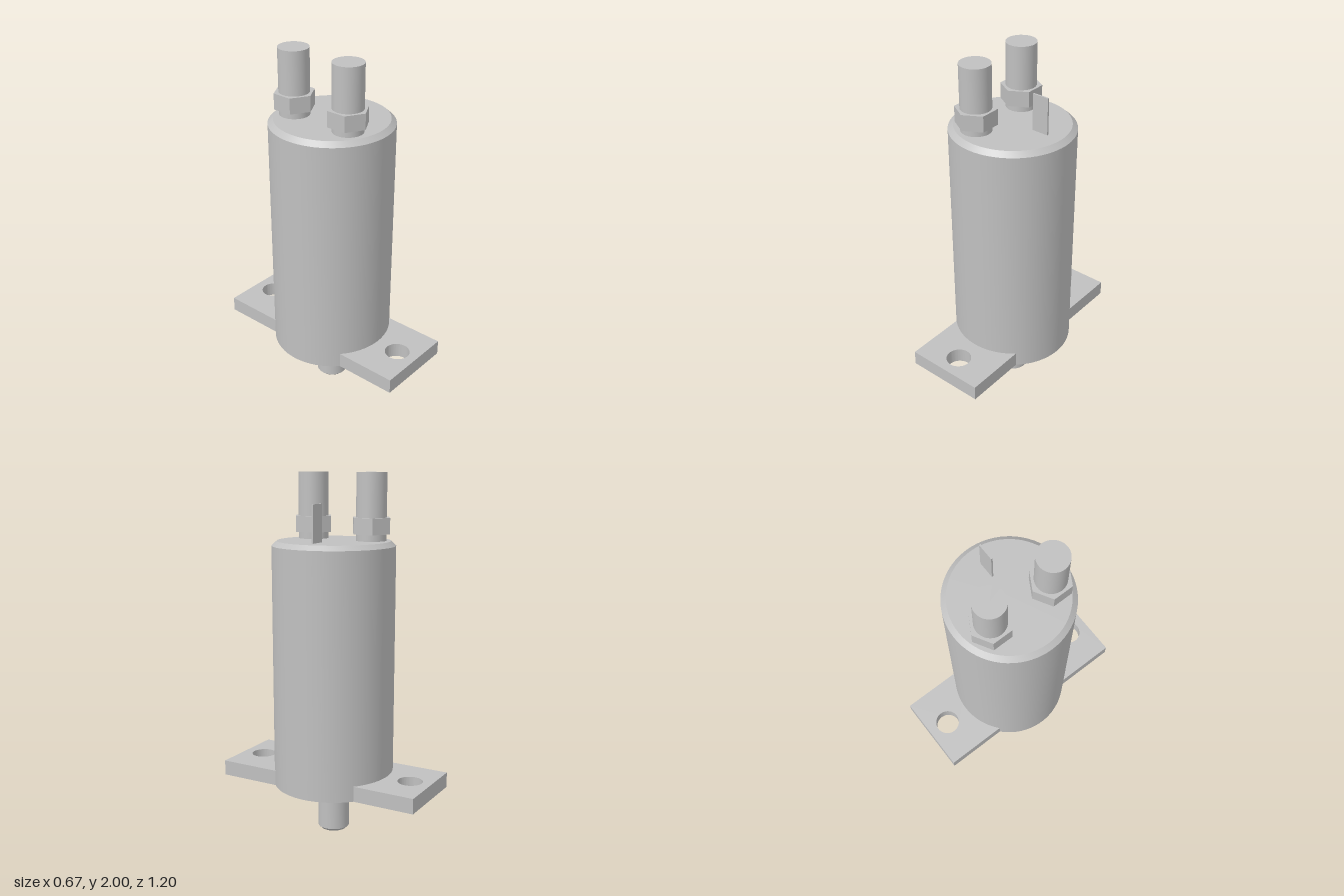
import * as THREE from 'three';
import { toCreasedNormals } from 'three/addons/utils/BufferGeometryUtils.js';

const BODY_R = 0.335, BASE_Y = 0.275, TOP_Y = 1.64;

export function createModel() {
  const model = new THREE.Group();
  model.name = 'solenoid';
  const metal = new THREE.MeshStandardMaterial({ color: 0xc0c0c0 });
  metal.name = 'grey metal';

  const add = (name, geometry, x = 0, y = 0, z = 0) => {
    const mesh = new THREE.Mesh(geometry, metal);
    mesh.name = name;
    mesh.position.set(x, y, z);
    model.add(mesh);
    return mesh;
  };
  // Turned part from a [radius, y] profile, bottom to top, with sharp edges kept
  const turned = (profile, segments) => toCreasedNormals(
    new THREE.LatheGeometry(profile.map(([r, y]) => new THREE.Vector2(r, y)), segments), 0.5);

  // Main can with chamfered top rim
  add('body', turned([[0, BASE_Y], [BODY_R, BASE_Y], [BODY_R, 1.615], [0.307, TOP_Y], [0, TOP_Y]], 72));

  // Plunger below the can, chamfered at its tip
  add('plunger', turned([[0, 0], [0.073, 0], [0.088, 0.015], [0.088, BASE_Y]], 48));

  // Mounting ears: drilled plates that meet the can along an arc
  const halfW = 0.225, end = 0.598;
  const angle = Math.acos(halfW / BODY_R);
  const ear = new THREE.Shape();
  ear.moveTo(-halfW, end);
  ear.lineTo(-halfW, BODY_R * Math.sin(angle));
  ear.absarc(0, 0, BODY_R, Math.PI - angle, angle, true);
  ear.lineTo(halfW, end);
  ear.closePath();
  const hole = new THREE.Path();
  hole.absarc(0, 0.477, 0.069, 0, Math.PI * 2, true);
  ear.holes.push(hole);
  const earGeometry = toCreasedNormals(
    new THREE.ExtrudeGeometry(ear, { depth: 0.085, bevelEnabled: false, curveSegments: 32 }).rotateX(Math.PI / 2), 0.5);
  add('frontMountingEar', earGeometry, 0, 0.36, 0);
  add('backMountingEar', earGeometry, 0, 0.36, 0).rotation.y = Math.PI;

  // Terminal studs with hex nuts
  const studGeometry = new THREE.CylinderGeometry(0.082, 0.082, 2 - TOP_Y, 48);
  const nutGeometry = toCreasedNormals(new THREE.CylinderGeometry(0.111, 0.111, 0.087, 6), 0.5);
  for (const [side, z] of [['front', 0.18], ['back', -0.18]]) {
    add(side + 'TerminalStud', studGeometry, -0.09, (2 + TOP_Y) / 2, z);
    add(side + 'TerminalNut', nutGeometry, -0.09, 1.72, z);
  }

  // Thin blade connector
  add('bladeTerminal', new THREE.BoxGeometry(0.093, 0.2, 0.009), 0.178, 1.74, 0);

  return model;
}
